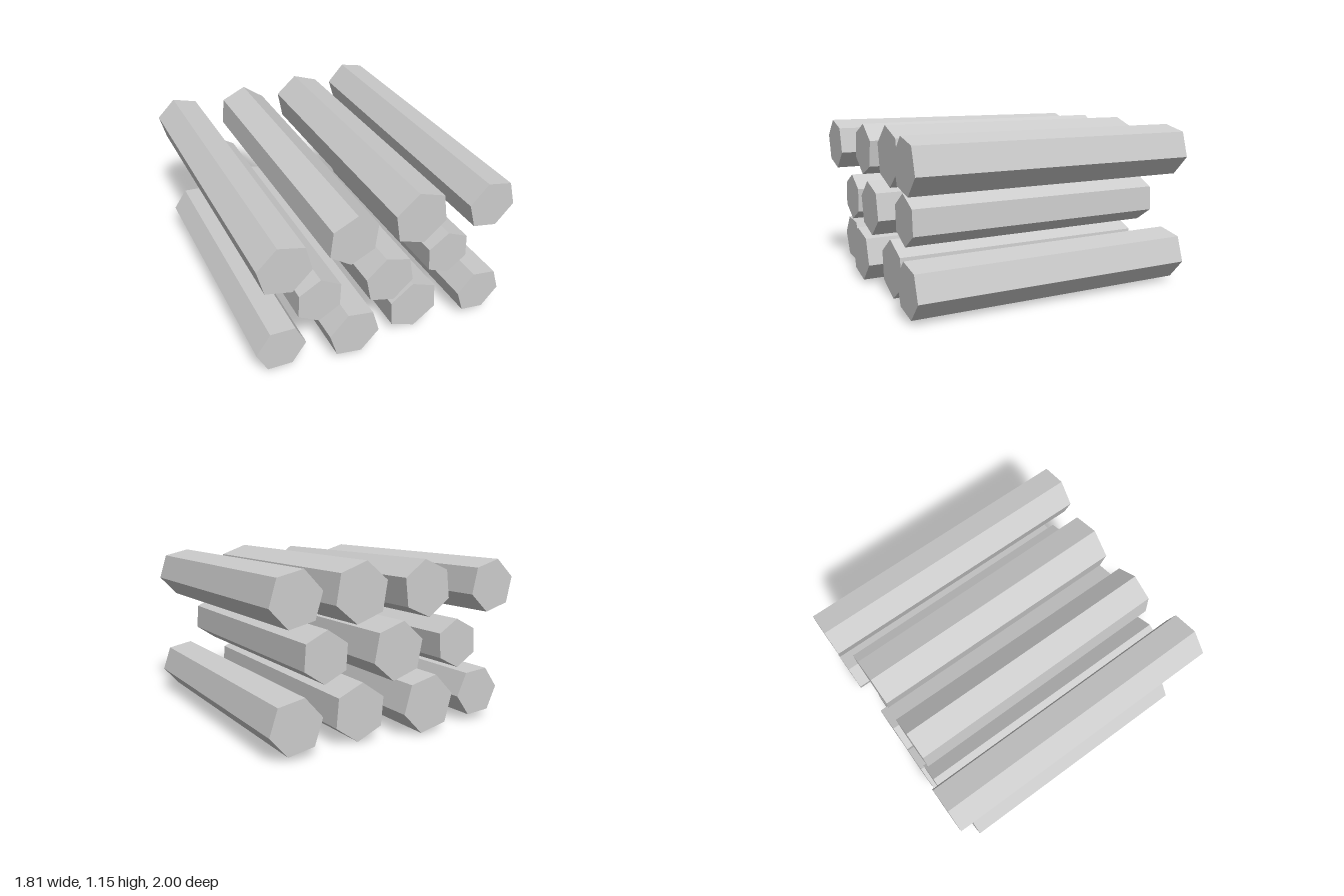
import * as THREE from 'three';

// Each log: centre x, centre y, front radius, back radius, turn in degrees, half length
const rows = {
  bottomLog: [
    [-0.733, 0.2, 0.175, 0.172, 54.5, 0.89],
    [-0.245, 0.2, 0.188, 0.196, 46, 0.978],
    [0.242, 0.2, 0.199, 0.19, 35, 0.92],
    [0.729, 0.2, 0.177, 0.18, 48.3, 0.998],
  ],
  middleLog: [
    [-0.489, 0.574, 0.166, 0.163, 27.5, 0.953],
    [0, 0.575, 0.184, 0.191, 41, 0.98],
    [0.485, 0.574, 0.17, 0.167, 33.8, 0.918],
  ],
  topLog: [
    [-0.733, 0.947, 0.182, 0.178, 43.3, 1],
    [-0.247, 0.949, 0.18, 0.188, 23.4, 0.938],
    [0.24, 0.949, 0.202, 0.196, 39.7, 0.928],
    [0.727, 0.947, 0.181, 0.178, 46.5, 1],
  ],
};

export function createModel() {
  const group = new THREE.Group();
  group.name = 'logPile';
  const material = new THREE.MeshStandardMaterial({ color: 0xcccccc, flatShading: true });

  // Slightly tapered six-sided logs lying along z, stacked in three rows
  for (const [name, logs] of Object.entries(rows)) {
    logs.forEach(([x, y, front, back, turn, half], i) => {
      const start = THREE.MathUtils.degToRad(turn + 90);
      const geometry = new THREE.CylinderGeometry(front, back, half * 2, 6, 1, false, start);
      geometry.rotateX(Math.PI / 2);
      const log = new THREE.Mesh(geometry, material);
      log.name = name + (i + 1);
      log.position.set(x, y, 0);
      group.add(log);
    });
  }
  return group;
}
